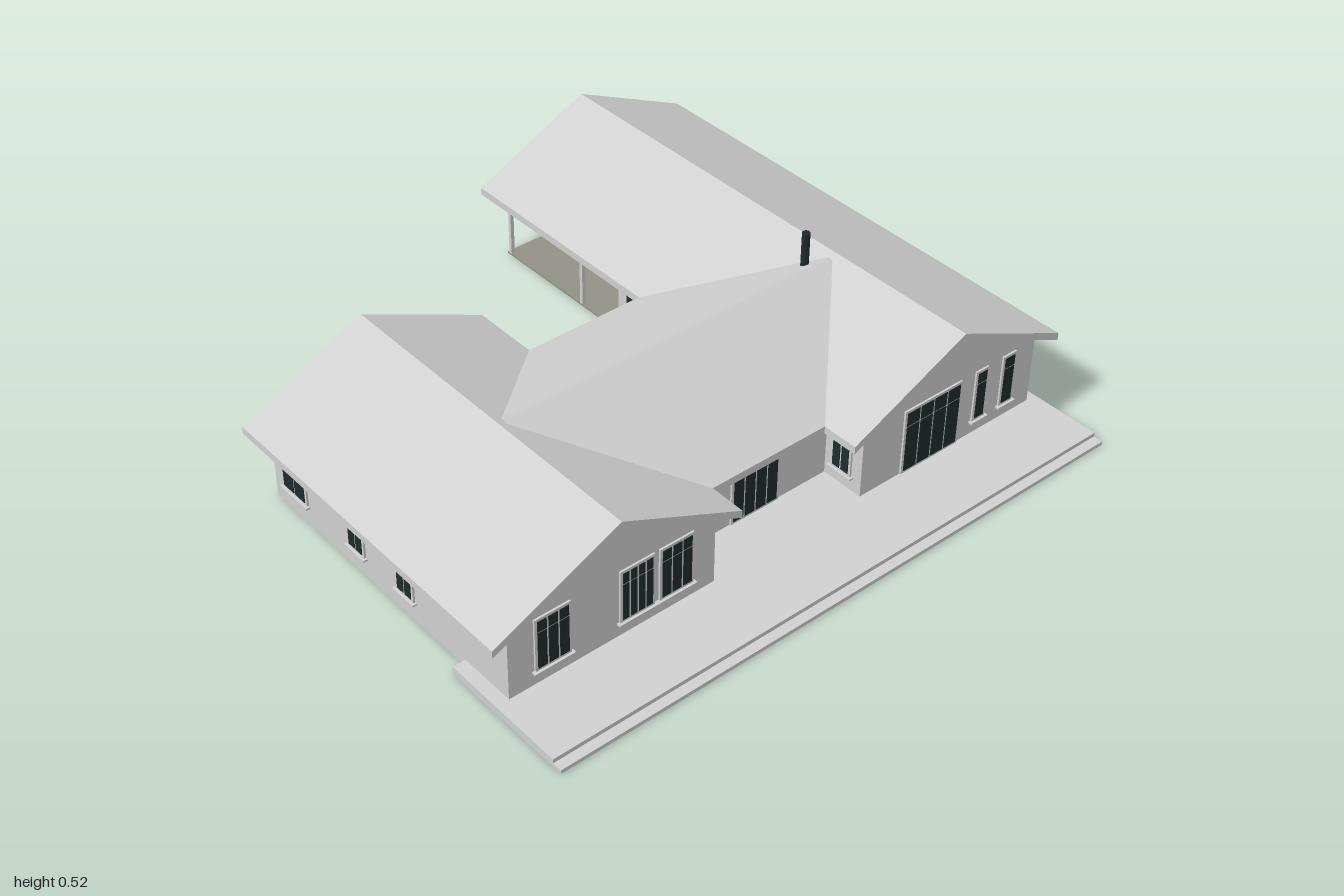
import * as THREE from 'three';

const mat = (name, color, side = THREE.FrontSide) => {
  const m = new THREE.MeshStandardMaterial({ color, side });
  m.name = name;
  return m;
};

export function createModel() {
  const house = new THREE.Group();
  house.name = 'house';
  const plaster = mat('light grey', 0xd0d0d0);
  const glass = mat('dark glass', 0x1f2b2b);
  const paving = mat('carport floor grey', 0x929288);

  const add = (name, geo, material, parent = house) => {
    const m = new THREE.Mesh(geo, material);
    m.name = name;
    parent.add(m);
    return m;
  };
  // Box given by its limits on each axis
  const block = (name, x0, x1, y0, y1, z0, z1, material = plaster) => {
    const m = add(name, new THREE.BoxGeometry(x1 - x0, y1 - y0, z1 - z0), material);
    m.position.set((x0 + x1) / 2, (y0 + y1) / 2, (z0 + z1) / 2);
    return m;
  };
  // Cross-section in x/y extruded along z
  const prism = (name, pts, z0, z1) => {
    const shape = new THREE.Shape(pts.map(p => new THREE.Vector2(p[0], p[1])));
    const g = new THREE.ExtrudeGeometry(shape, { depth: z1 - z0, bevelEnabled: false });
    g.translate(0, 0, z0);
    return add(name, g, plaster);
  };

  const EAVE = 0.25, THICK = 0.024, SLOPE = 0.4625;
  // Two-sided pitched roof of constant thickness
  const roof = (name, half, z0, z1) => {
    const top = EAVE + half * SLOPE;
    return prism(name, [[-half, EAVE - THICK], [0, top - THICK], [half, EAVE - THICK],
      [half, EAVE], [0, top], [-half, EAVE]], z0, z1);
  };
  // Walls with gables rising to the underside of the roof
  const walls = (name, half, roofHalf, z0, z1, base = 0) => {
    const under = d => EAVE - THICK - 0.001 + (roofHalf - d) * SLOPE;
    return prism(name, [[-half, base], [half, base], [half, under(half)],
      [0, under(0)], [-half, under(half)]], z0, z1);
  };

  // Wings
  for (const [name, x, wallBack, roofBack] of [['right', -0.6, -0.365, -0.4], ['left', 0.6, -0.35, -0.94]]) {
    walls(name + 'WingWalls', 0.335, 0.4, wallBack, 0.68).position.x = x;
    roof(name + 'WingRoof', 0.4, roofBack, 0.71).position.x = x;
  }

  // Central hall, ridge running sideways into both wings
  const hallWalls = walls('hallWalls', 0.333, 0.3875, -0.3, 0.3);
  const hallRoof = roof('hallRoof', 0.3875, -0.575, 0.575);
  for (const m of [hallWalls, hallRoof]) {
    m.rotation.y = Math.PI / 2;
    m.position.z = 0.2075;
  }

  // Terraces
  block('frontTerrace', -0.975, 0.97, 0, 0.025, 0.5, 0.905);
  block('frontStep', -0.975, 0.97, 0, 0.012, 0.905, 0.935);
  block('backTerrace', -0.27, 0.27, 0, 0.025, -0.32, -0.1);

  // Carport
  block('carportFloor', 0.265, 0.935, 0, 0.006, -0.9, -0.35, paving);
  walls('carportGable', 0.335, 0.4, -0.9, -0.351, 0.235).position.x = 0.6;
  for (const x of [0.271, 0.929])
    for (const z of [-0.53, -0.886])
      block('carportPost', x - 0.006, x + 0.006, 0.006, 0.24, z - 0.006, z + 0.006);

  // Flue
  const flue = add('flue', new THREE.CylinderGeometry(0.012, 0.012, 0.16, 16), glass);
  flue.position.set(0.515, 0.44, 0.17);

  // Window: frame plate, panes with a cross bar, sill. Angle turns it from +z.
  const opening = (name, x, z, angle, width, panes, y0 = 0.08, y1 = 0.235) => {
    const g = new THREE.Group();
    g.name = name;
    g.position.set(x, 0, z);
    g.rotation.y = angle;
    house.add(g);
    const part = (n, w, h, d, px, py, pz, m) =>
      add(n, new THREE.BoxGeometry(w, h, d), m, g).position.set(px, py, pz);
    part('frame', width + 0.016, y1 - y0 + 0.016, 0.006, 0, (y0 + y1) / 2, 0.003, plaster);
    const gap = 0.006, w = (width - gap * (panes - 1)) / panes, bar = y0 + (y1 - y0) * 0.77;
    for (let i = 0; i < panes; i++) {
      const px = -width / 2 + w / 2 + i * (w + gap);
      for (const [a, b] of [[y0, bar - 0.002], [bar + 0.002, y1]])
        part('pane', w, b - a, 0.004, px, (a + b) / 2, 0.006, glass);
    }
    if (y0 > 0.05) part('sill', width + 0.03, 0.006, 0.014, 0, y0 - 0.011, 0.007, plaster);
  };
  const Q = Math.PI / 2;

  // Front
  opening('frontWindow', -0.798, 0.68, 0, 0.098, 3);
  opening('frontWindow', -0.528, 0.68, 0, 0.098, 4);
  opening('frontWindow', -0.398, 0.68, 0, 0.098, 3);
  opening('frontDoor', 0, 0.5405, 0, 0.156, 4, 0.035, 0.225);
  opening('patioDoor', 0.527, 0.68, 0, 0.205, 4, 0.035, 0.235);
  opening('frontWindow', 0.719, 0.68, 0, 0.034, 1);
  opening('frontWindow', 0.83, 0.68, 0, 0.038, 1);
  // Inner faces of the wings beside the entrance
  opening('entranceWindow', -0.265, 0.605, Q, 0.06, 2);
  opening('entranceWindow', 0.265, 0.605, -Q, 0.06, 2);
  // Left outer side
  opening('sideWindow', 0.935, 0.385, Q, 0.17, 4, 0.075, 0.22);
  opening('sideWindow', 0.935, 0.102, Q, 0.045, 2, 0.075, 0.22);
  opening('sideWindow', 0.935, -0.248, Q, 0.13, 3, 0.075, 0.22);
  // Right outer side
  opening('sideWindow', -0.935, -0.26, -Q, 0.1, 2, 0.075, 0.22);
  opening('sideWindow', -0.935, 0.03, -Q, 0.06, 2, 0.075, 0.22);
  opening('sideWindow', -0.935, 0.25, -Q, 0.06, 2, 0.075, 0.22);
  // Back
  opening('backWindow', -0.385, -0.365, 2 * Q, 0.1, 2);
  opening('backWindow', -0.79, -0.365, 2 * Q, 0.1, 2);
  opening('hallBackWindow', 0.19, -0.1255, 2 * Q, 0.06, 2);
  opening('hallBackDoor', -0.02, -0.1255, 2 * Q, 0.14, 3, 0.035, 0.22);
  opening('courtDoor', 0.265, -0.27, -Q, 0.07, 2, 0.035, 0.22);

  return house;
}
